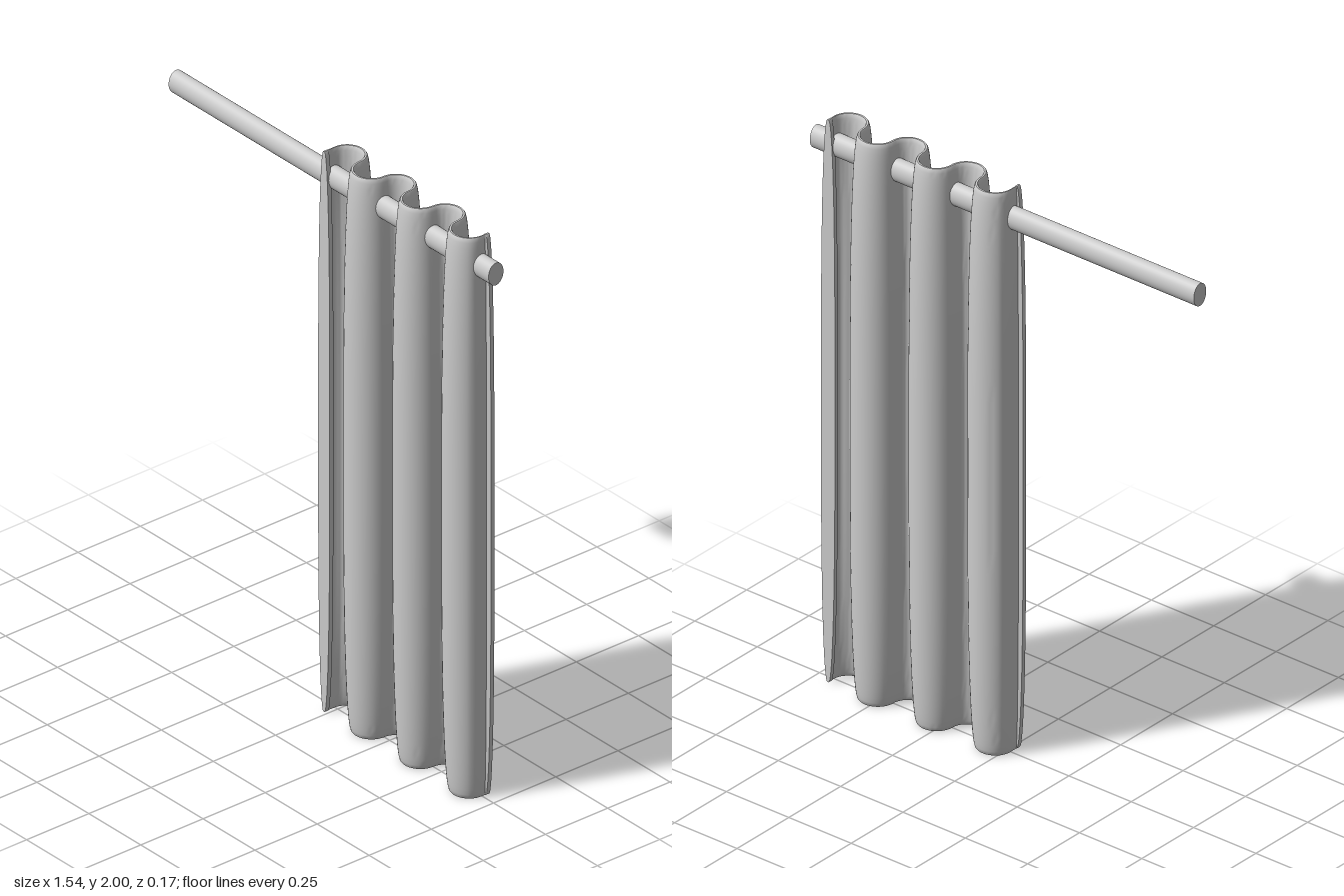
import * as THREE from 'three';
import { toCreasedNormals } from 'three/addons/utils/BufferGeometryUtils.js';

const FOLDS = 6, R = 0.059, X0 = -0.015;
const material = new THREE.MeshStandardMaterial({ color: 0xcccccc, side: THREE.DoubleSide });

// Plan of the cloth: alternating half circles with short straight hems.
// Each station holds x, z, its sideways normal and a thickness factor.
function planStations() {
  const list = [];
  const endX = X0 + FOLDS * 2 * R;
  const hemStart = [[0.043, 1], [0.028, 1], [0.026, 0.4], [0.013, 0.4]];
  for (const [z, t] of hemStart) list.push({ x: X0, z, nx: 1, nz: 0, t });
  const steps = 20;
  for (let f = 0; f < FOLDS; f++) {
    const side = f % 2 ? 1 : -1;
    const cx = X0 + R * (2 * f + 1);
    for (let i = f ? 1 : 0; i <= steps; i++) {
      const a = Math.PI * (1 - i / steps);
      const c = Math.cos(a), s = Math.sin(a);
      let t = 1;
      // the cloth thins out just before each hem
      if (f === 0) t = Math.min(1, 0.5 + i * 0.12);
      if (f === FOLDS - 1) t = Math.min(1, 0.5 + (steps - i) * 0.12);
      list.push({ x: cx + R * c, z: side * R * s, nx: side * c, nz: s, t });
    }
  }
  // normals must stay on the same side of the path all along
  for (let i = 4; i < list.length; i++) {
    const a = list[i - 1], b = list[Math.min(i + 1, list.length - 1)];
    const n = new THREE.Vector2(-(b.z - a.z), b.x - a.x).normalize();
    if (n.x * list[i].nx + n.y * list[i].nz < 0) { list[i].nx *= -1; list[i].nz *= -1; }
  }
  for (const [z, t] of [[-0.01, 0.4], [-0.014, 1], [-0.028, 1]]) {
    list.push({ x: endX, z, nx: 1, nz: 0, t });
  }
  return list;
}

// Half thickness swells from the thin top and bottom edges to the middle
function halfThickness(y) {
  const u = Math.abs(y - 1);
  return 0.003 + 0.025 * Math.sqrt(Math.max(0, 1 - Math.pow(u, 3)));
}

function curtainGeometry() {
  const plan = planStations();
  const n = plan.length, loop = 2 * n, rows = 36;
  const pos = [], index = [];
  for (let r = 0; r <= rows; r++) {
    const y = 1 - Math.cos((Math.PI * r) / rows);
    const h = halfThickness(y);
    for (let k = 0; k < loop; k++) {
      const p = plan[k < n ? k : loop - 1 - k];
      const d = (k < n ? 1 : -1) * h * p.t;
      pos.push(p.x + p.nx * d, y, p.z + p.nz * d);
    }
  }
  const quad = (a, b, c, d) => index.push(a, b, c, a, c, d);
  // walls
  for (let r = 0; r < rows; r++) {
    for (let k = 0; k < loop; k++) {
      const a = r * loop + k, b = r * loop + ((k + 1) % loop);
      quad(a, b, b + loop, a + loop);
    }
  }
  // top and bottom edges
  const top = rows * loop;
  for (let i = 0; i < n - 1; i++) {
    const j = loop - 1 - i;
    quad(top + i, top + i + 1, top + j - 1, top + j);
    quad(j, j - 1, i + 1, i);
  }
  const geo = new THREE.BufferGeometry();
  geo.setAttribute('position', new THREE.Float32BufferAttribute(pos, 3));
  geo.setIndex(index);
  return toCreasedNormals(geo, 0.8);
}

export function createModel() {
  const group = new THREE.Group();
  group.name = 'curtainOnRod';

  const curtain = new THREE.Mesh(curtainGeometry(), material);
  curtain.name = 'curtain';
  group.add(curtain);

  // oval rod passing through the folds
  const rodGeo = new THREE.CylinderGeometry(1, 1, 1.54, 32);
  rodGeo.rotateZ(Math.PI / 2);
  rodGeo.scale(1, 0.04, 0.03);
  const rod = new THREE.Mesh(rodGeo, material);
  rod.name = 'rod';
  rod.position.set(0, 1.9, 0.007);
  group.add(rod);
  return group;
}
